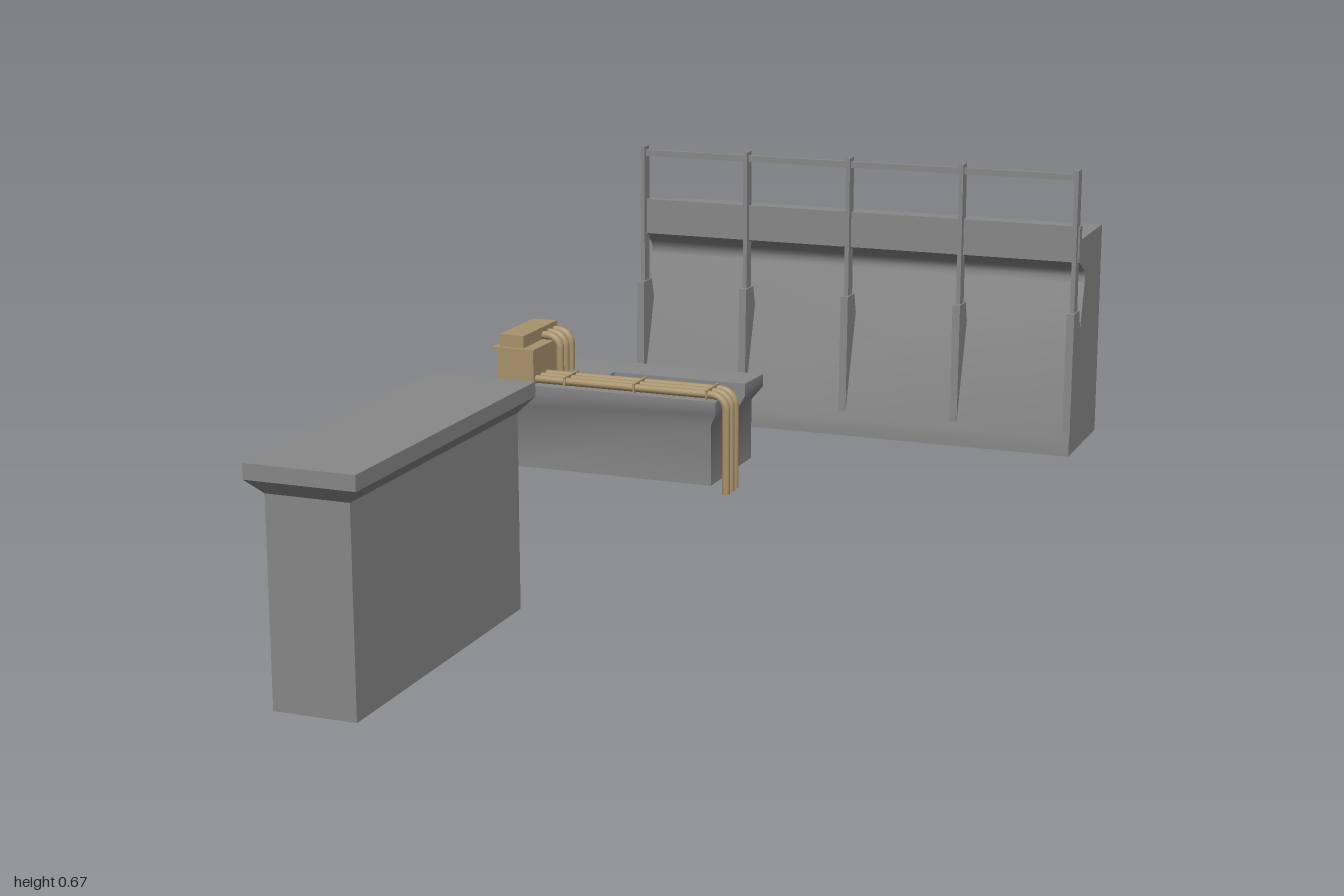
import * as THREE from 'three';
import { toCreasedNormals } from 'three/addons/utils/BufferGeometryUtils.js';

const concrete = new THREE.MeshStandardMaterial({ color: 0x888888 });
const tan = new THREE.MeshStandardMaterial({ color: 0xa8926c });
const tanPipe = new THREE.MeshStandardMaterial({ color: 0xa8926c, side: THREE.DoubleSide });

function add(parent, name, geometry, material) {
  const mesh = new THREE.Mesh(geometry, material);
  mesh.name = name;
  parent.add(mesh);
  return mesh;
}

// Box given by its limits on each axis
function box(parent, name, [x0, x1], [y0, y1], [z0, z1], material) {
  const mesh = add(parent, name, new THREE.BoxGeometry(x1 - x0, y1 - y0, z1 - z0), material);
  mesh.position.set((x0 + x1) / 2, (y0 + y1) / 2, (z0 + z1) / 2);
}

// Solid with a (z, y) profile running from x0 to x1
function profileAlongX(points, x0, x1) {
  const shape = new THREE.Shape(points.map(([z, y]) => new THREE.Vector2(z, y)));
  const geometry = new THREE.ExtrudeGeometry(shape, { depth: x1 - x0, bevelEnabled: false });
  return geometry.rotateY(-Math.PI / 2).translate(x1, 0, 0);
}

// Upright block whose (x, z) outline widens with height; levels are [y, flare]
function flaredBlock(outline, levels) {
  const rings = levels.map(([y, d]) => outline(d).map(([x, z]) => [x, y, z]));
  const n = rings[0].length;
  const pos = [];
  const tri = (a, b, c) => pos.push(...a, ...b, ...c);
  for (let k = 0; k < rings.length - 1; k++) {
    const lo = rings[k], hi = rings[k + 1];
    for (let i = 0; i < n; i++) {
      const j = (i + 1) % n;
      tri(lo[i], lo[j], hi[j]);
      tri(lo[i], hi[j], hi[i]);
    }
  }
  const bottom = rings[0], top = rings[rings.length - 1];
  const flat = top.map(([x, , z]) => new THREE.Vector2(x, -z));
  for (const [a, b, c] of THREE.ShapeUtils.triangulateShape(flat, [])) {
    tri(top[a], top[b], top[c]);
    tri(bottom[a], bottom[c], bottom[b]);
  }
  const geometry = new THREE.BufferGeometry();
  geometry.setAttribute('position', new THREE.Float32BufferAttribute(pos, 3));
  geometry.computeVertexNormals();
  return geometry;
}

// Pipe running along +x, bending down and ending at yEnd
function bentPipe(parent, name, x0, x1, y, yEnd, z, bend, radius, segments) {
  const p = (x, py) => new THREE.Vector3(x, py, z);
  const path = new THREE.CurvePath();
  path.add(new THREE.LineCurve3(p(x0, y), p(x1 - bend, y)));
  path.add(new THREE.CubicBezierCurve3(p(x1 - bend, y), p(x1 - bend * 0.45, y), p(x1, y - bend * 0.45), p(x1, y - bend)));
  path.add(new THREE.LineCurve3(p(x1, y - bend), p(x1, yEnd)));
  add(parent, name, new THREE.TubeGeometry(path, segments, radius, 10), tanPipe);
  const end = add(parent, name + 'End', new THREE.CircleGeometry(radius, 10).rotateX(Math.PI / 2), tanPipe);
  end.position.set(x1, yEnd, z);
}

export function createModel() {
  const model = new THREE.Group();
  model.name = 'concreteWorks';

  // Free-standing pier with flared cap
  add(model, 'pier', flaredBlock(
    (d) => [[-0.342 - d, 0.976 + d], [-0.191 + d, 0.976 + d], [-0.191 + d, 0.361 - d], [-0.342 - d, 0.361 - d]],
    [[0, 0], [0.362, 0], [0.388, 0.024], [0.415, 0.024]]), concrete);

  // U-shaped plinth, its slot open towards +x
  add(model, 'slottedPlinth', toCreasedNormals(flaredBlock(
    (d) => [[-0.528 - d, -0.28 + d], [-0.07 + d, -0.28 + d], [-0.07 + d, -0.368], [-0.342, -0.368],
      [-0.342, -0.434], [-0.07 + d, -0.434], [-0.07 + d * 1.3, -0.514 - d], [-0.528 - d, -0.514 - d]],
    [[0.073, 0], [0.197, 0], [0.223, 0.015], [0.249, 0.015]]), 0.7), concrete);

  // Machine housing with lid and upper box
  const machine = new THREE.Group();
  machine.name = 'pumpUnit';
  model.add(machine);
  box(machine, 'housing', [-0.531, -0.451], [0.245, 0.317], [-0.445, -0.272], tan);
  box(machine, 'housingLid', [-0.538, -0.447], [0.317, 0.322], [-0.456, -0.265], tan);
  box(machine, 'upperBox', [-0.527, -0.473], [0.322, 0.347], [-0.44, -0.275], tan);

  // Short pipes from the upper box down to the plinth
  for (const z of [-0.371, -0.398, -0.426])
    bentPipe(machine, 'shortPipe', -0.485, -0.436, 0.33, 0.245, z, 0.026, 0.0085, 24);

  // Long pipes across the plinth and down over its end, with clamps
  for (const z of [-0.287, -0.313, -0.338])
    bentPipe(machine, 'longPipe', -0.46, -0.041, 0.258, 0.057, z, 0.03, 0.008, 110);
  for (const x of [-0.386, -0.235, -0.08])
    box(machine, 'pipeClamp', [x - 0.002, x + 0.002], [0.247, 0.268], [-0.348, -0.277], tan);

  // Retaining wall: sloped face, softly curved overhang and parapet
  const wall = new THREE.Group();
  wall.name = 'retainingWall';
  model.add(wall);
  add(wall, 'wallBody', toCreasedNormals(profileAlongX([
    [-1, 0.073], [-0.757, 0.073], [-0.757, 0.107], [-0.852, 0.42], [-0.855, 0.435], [-0.847, 0.449], [-0.825, 0.461],
    [-0.794, 0.475], [-0.794, 0.55], [-0.813, 0.55], [-0.813, 0.521], [-1, 0.521]], -0.427, 0.541), 0.8), concrete);

  // Buttress fins carrying the railing posts
  const fin = [[-0.83, 0.31], [-0.772, 0.11], [-0.762, 0.115], [-0.767, 0.372], [-0.812, 0.372]];
  for (const x of [-0.419, -0.183, 0.046, 0.291, 0.533]) {
    add(wall, 'buttressFin', profileAlongX(fin, x - 0.008, x + 0.008), concrete);
    box(wall, 'railingPost', [x - 0.0045, x + 0.0045], [0.365, 0.666], [-0.808, -0.78], concrete);
  }
  box(wall, 'handrail', [-0.42, 0.535], [0.645, 0.658], [-0.8, -0.788], concrete);

  return model;
}
